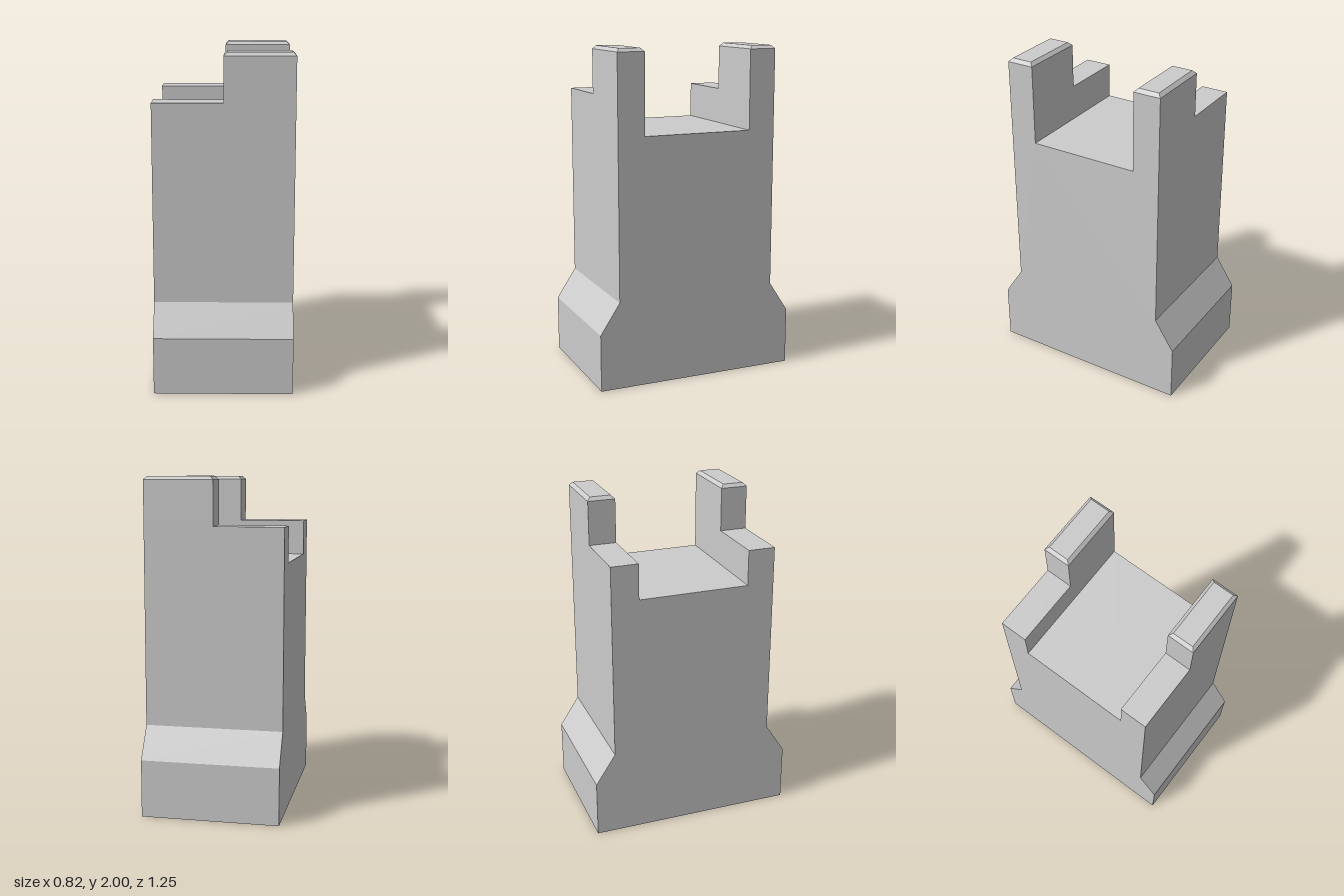
import * as THREE from 'three';

const HALF_WIDTH = 0.412, WALL_IN = 0.336, WALL_OUT = 0.502;
const WALL_TOP = 1.715, TOP = 2, BEVEL = 0.02;

const material = new THREE.MeshStandardMaterial({ color: 0xcccccc, flatShading: true });

// Block with a chamfered top rim, standing on y = 0
function chamferedBlock(width, height, depth) {
  const geometry = new THREE.BoxGeometry(width, height, depth, 1, 2, 1);
  const p = geometry.attributes.position;
  for (let i = 0; i < p.count; i++) {
    const y = p.getY(i);
    if (y > 0.001) {
      p.setX(i, p.getX(i) - Math.sign(p.getX(i)) * BEVEL);
      p.setZ(i, p.getZ(i) - Math.sign(p.getZ(i)) * BEVEL);
    } else if (y > -0.001) {
      p.setY(i, height / 2 - BEVEL);
    }
  }
  geometry.translate(0, height / 2, 0);
  const flat = geometry.toNonIndexed();
  flat.computeVertexNormals();
  return flat;
}

export function createModel() {
  const group = new THREE.Group();

  // Wall section: flared foot, straight shaft, two parapets beside a sunken walkway
  const half = [
    [0.623, 0], [0.623, 0.345], [WALL_OUT, 0.53],
    [WALL_OUT, WALL_TOP], [WALL_IN, WALL_TOP], [WALL_IN, 1.5],
  ];
  const mirrored = half.map(([z, y]) => [-z, y]).reverse();
  const section = new THREE.Shape([...half, ...mirrored].map(([z, y]) => new THREE.Vector2(z, y)));
  const wallGeometry = new THREE.ExtrudeGeometry(section, { depth: 2 * HALF_WIDTH, bevelEnabled: false });
  wallGeometry.rotateY(Math.PI / 2).translate(-HALF_WIDTH, 0, 0);
  const wall = new THREE.Mesh(wallGeometry, material);
  wall.name = 'wall';
  group.add(wall);

  // One merlon on the left half of each parapet
  const merlonGeometry = chamferedBlock(HALF_WIDTH, TOP - WALL_TOP, WALL_OUT - WALL_IN);
  for (const side of [1, -1]) {
    const merlon = new THREE.Mesh(merlonGeometry, material);
    merlon.name = side > 0 ? 'frontMerlon' : 'backMerlon';
    merlon.position.set(HALF_WIDTH / 2, WALL_TOP, side * (WALL_IN + WALL_OUT) / 2);
    group.add(merlon);
  }

  return group;
}
